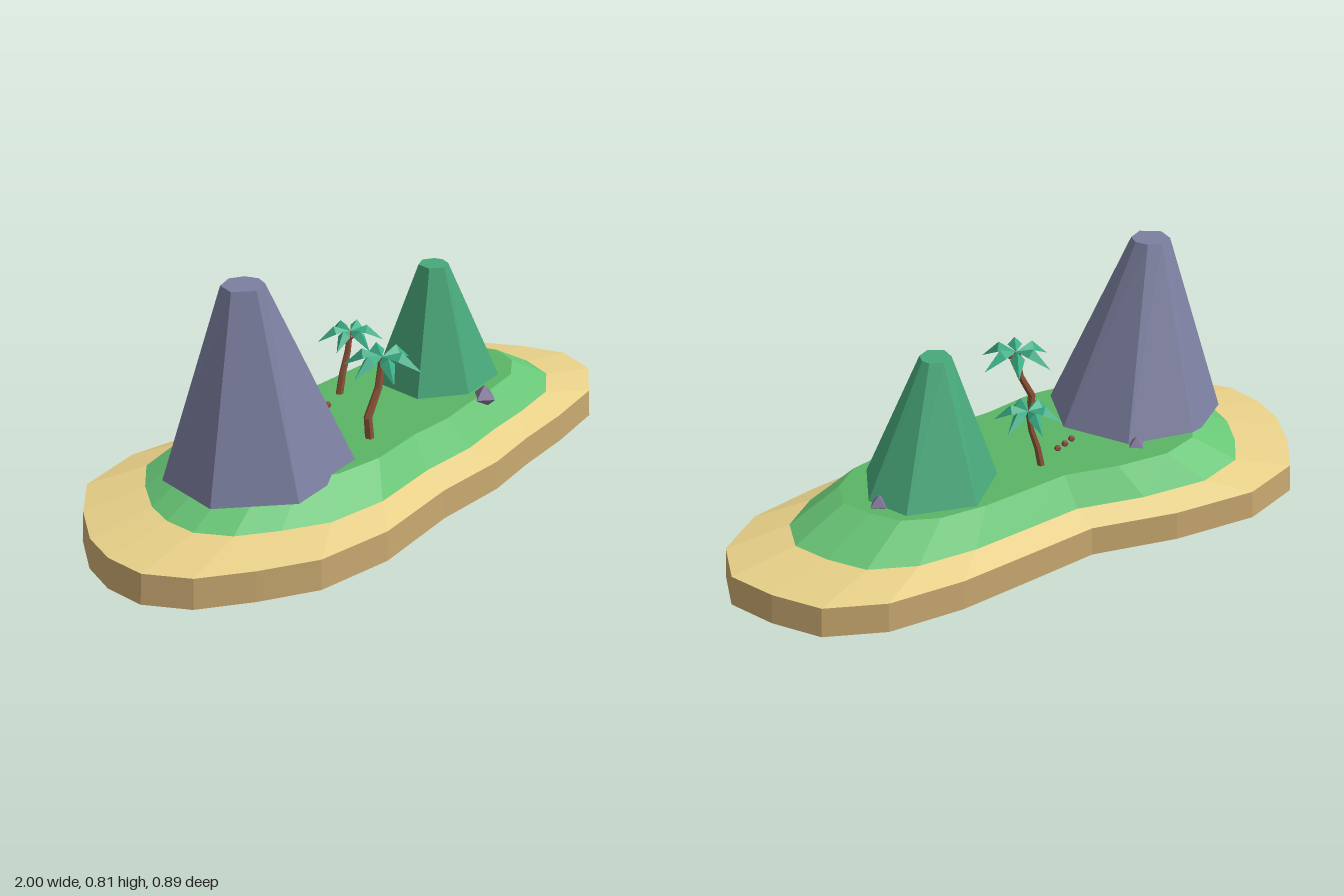
import * as THREE from 'three';

const mat = (color, side = THREE.FrontSide) =>
  new THREE.MeshStandardMaterial({ color, flatShading: true, side });
const SAND = mat(0xe8d088), CLIFF = mat(0xc8a870), GRASS = mat(0x68c676), LAWN = mat(0x5ab566);
const STONE = mat(0x7c7fa0), FOREST = mat(0x48a87a), ROCK = mat(0x80759a);
const BARK = mat(0x8a5438), NUT = mat(0x8a4a40), LEAF = mat(0x3cb088, THREE.DoubleSide);

// Shore outline [x, z], counter-clockwise seen from above
const SHORE = [
  [-1, 0], [-0.98, 0.13], [-0.89, 0.25], [-0.74, 0.34], [-0.57, 0.42], [-0.33, 0.44],
  [-0.04, 0.39], [0.21, 0.38], [0.4, 0.34], [0.6, 0.31], [0.82, 0.26], [0.96, 0.145],
  [1, 0], [0.935, -0.145], [0.84, -0.28], [0.665, -0.36], [0.43, -0.38], [0.18, -0.365],
  [-0.045, -0.35], [-0.32, -0.42], [-0.6, -0.45], [-0.81, -0.39], [-0.91, -0.26], [-0.98, -0.12],
];

const ring = (outline, scale, y) => outline.map(([x, z]) => [x * scale, y, z * scale]);

// Faceted skin through a stack of rings, with optional flat caps
function loft(rings, capBottom = false, capTop = false) {
  const out = [];
  const n = rings[0].length;
  for (let r = 0; r < rings.length - 1; r++) {
    for (let i = 0; i < n; i++) {
      const j = (i + 1) % n, a = rings[r], b = rings[r + 1];
      out.push(...a[i], ...a[j], ...b[j], ...a[i], ...b[j], ...b[i]);
    }
  }
  const cap = (pts, up) => {
    const c = [0, 1, 2].map(k => pts.reduce((s, p) => s + p[k], 0) / n);
    pts.forEach((p, i) => {
      const q = pts[(i + 1) % n];
      out.push(...c, ...(up ? p : q), ...(up ? q : p));
    });
  };
  if (capBottom) cap(rings[0], false);
  if (capTop) cap(rings[rings.length - 1], true);
  const g = new THREE.BufferGeometry();
  g.setAttribute('position', new THREE.Float32BufferAttribute(out, 3));
  g.computeVertexNormals();
  return g;
}

function add(parent, name, geometry, material, x = 0, y = 0, z = 0) {
  const mesh = new THREE.Mesh(geometry, material);
  mesh.name = name;
  mesh.position.set(x, y, z);
  parent.add(mesh);
  return mesh;
}

// Leaning mountain: irregular foot tapering to a small flat summit
function mountain(foot, footY, [cx, cz], radius, topY) {
  const summit = foot.map(([x, z]) => {
    const d = Math.hypot(x - cx, z - cz);
    return [cx + (x - cx) / d * radius, topY, cz + (z - cz) / d * radius];
  });
  return loft([ring(foot, 1, footY), summit], true, true);
}

// Folded, drooping palm frond pointing along +x
function frondGeometry() {
  const root = [0, 0, 0], ridge = [0.062, 0.022, 0], tip = [0.122, -0.04, 0];
  const l = [0.055, -0.002, 0.024], r = [0.055, -0.002, -0.024];
  const g = new THREE.BufferGeometry();
  g.setAttribute('position', new THREE.Float32BufferAttribute(
    [root, l, ridge, l, tip, ridge, root, ridge, r, r, ridge, tip].flat(), 3));
  g.computeVertexNormals();
  return g;
}

function palm(name, path, size, turn) {
  const group = new THREE.Group();
  group.name = name;
  const points = path.map(p => new THREE.Vector3(...p));
  // Trunk from tapering rings along the bent path
  const rings = points.map((p, i) => {
    const rad = (0.015 - 0.0015 * i) * size;
    return Array.from({ length: 6 }, (_, k) => {
      const a = k * Math.PI / 3;
      return [p.x + rad * Math.cos(a), p.y, p.z - rad * Math.sin(a)];
    });
  });
  add(group, 'trunk', loft(rings, true, true), BARK);
  // Crown of fronds with coconuts beneath
  const crown = new THREE.Group();
  crown.name = 'crown';
  crown.position.copy(points[points.length - 1]);
  crown.scale.setScalar(size);
  crown.rotation.y = turn;
  const frond = frondGeometry();
  for (let i = 0; i < 6; i++) {
    add(crown, 'frond', frond, LEAF).rotation.y = i * Math.PI / 3;
  }
  for (let i = 0; i < 3; i++) {
    const a = i * Math.PI * 2 / 3 + 0.5;
    add(crown, 'coconut', new THREE.IcosahedronGeometry(0.011, 0), NUT,
      0.018 * Math.cos(a), -0.016, 0.018 * Math.sin(a));
  }
  group.add(crown);
  return group;
}

export function createModel() {
  const island = new THREE.Group();
  island.name = 'island';

  // Ground layers
  const edge = ring(SHORE, 0.99, 0.096);
  const bank = ring(SHORE, 0.785, 0.13);
  const rim = ring(SHORE, 0.62, 0.225);
  add(island, 'shoreCliff', loft([ring(SHORE, 1, 0), edge], true), CLIFF);
  add(island, 'beach', loft([edge, bank]), SAND);
  add(island, 'grassBank', loft([bank, rim]), GRASS);
  add(island, 'grassPlateau', loft([rim, ring(SHORE, 0.3, 0.225)], false, true), LAWN);

  // Mountains
  add(island, 'stoneMountain', mountain(
    [[-0.73, -0.09], [-0.73, 0.135], [-0.53, 0.285], [-0.255, 0.235], [-0.175, 0.03], [-0.295, -0.175], [-0.52, -0.225]],
    0.205, [-0.525, 0.06], 0.062, 0.805), STONE);
  add(island, 'greenMountain', mountain(
    [[0.14, -0.1], [0.15, 0.08], [0.3, 0.17], [0.485, 0.135], [0.56, -0.03], [0.5, -0.165], [0.29, -0.23]],
    0.21, [0.295, 0], 0.048, 0.63), FOREST);

  // Palms
  island.add(palm('frontPalm',
    [[-0.135, 0.215, 0.16], [-0.143, 0.295, 0.16], [-0.098, 0.38, 0.158], [-0.08, 0.475, 0.155]], 1, 0.05));
  island.add(palm('backPalm',
    [[0.0, 0.215, -0.125], [0.015, 0.29, -0.125], [0.038, 0.36, -0.125], [0.05, 0.43, -0.125]], 0.86, 0.4));

  // Pointed rocks
  for (const [x, y, z, r] of [[0.33, 0.22, 0.205, 0.042], [-0.32, 0.22, -0.185, 0.035], [0.535, 0.228, -0.065, 0.032]]) {
    add(island, 'rock', new THREE.OctahedronGeometry(r, 0), ROCK, x, y, z).rotation.y = 0.15;
  }

  // Fallen coconuts
  for (const [x, z] of [[-0.16, -0.053], [-0.125, -0.068], [-0.09, -0.08]]) {
    add(island, 'fallenCoconut', new THREE.IcosahedronGeometry(0.012, 0), NUT, x, 0.231, z);
  }
  return island;
}
